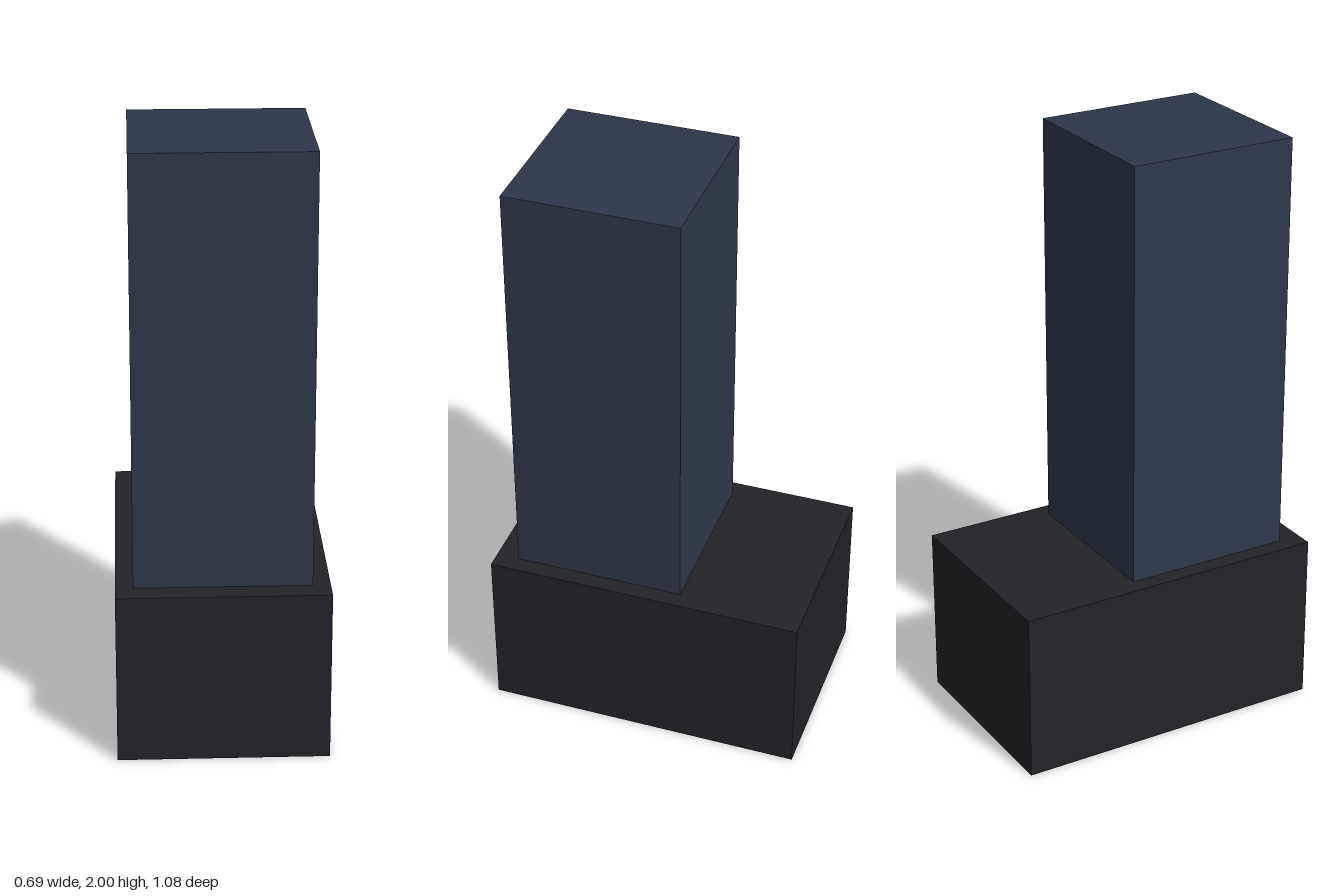
import * as THREE from 'three';

// Box placed by the centre of its underside
function block(name, [w, h, d], [x, y, z], color) {
  const mesh = new THREE.Mesh(
    new THREE.BoxGeometry(w, h, d),
    new THREE.MeshStandardMaterial({ color })
  );
  mesh.name = name;
  mesh.position.set(x, y + h / 2, z);
  return mesh;
}

export function createModel() {
  const group = new THREE.Group();
  group.name = 'bootedLeg';

  // Dark boot, longer than the leg is deep
  group.add(block('boot', [0.692, 0.577, 1.077], [0, 0, 0], 0x222328));

  // Square leg standing on the boot, set towards one end
  group.add(block('leg', [0.577, 1.423, 0.577], [0, 0.577, 0.172], 0x2d3748));

  return group;
}
